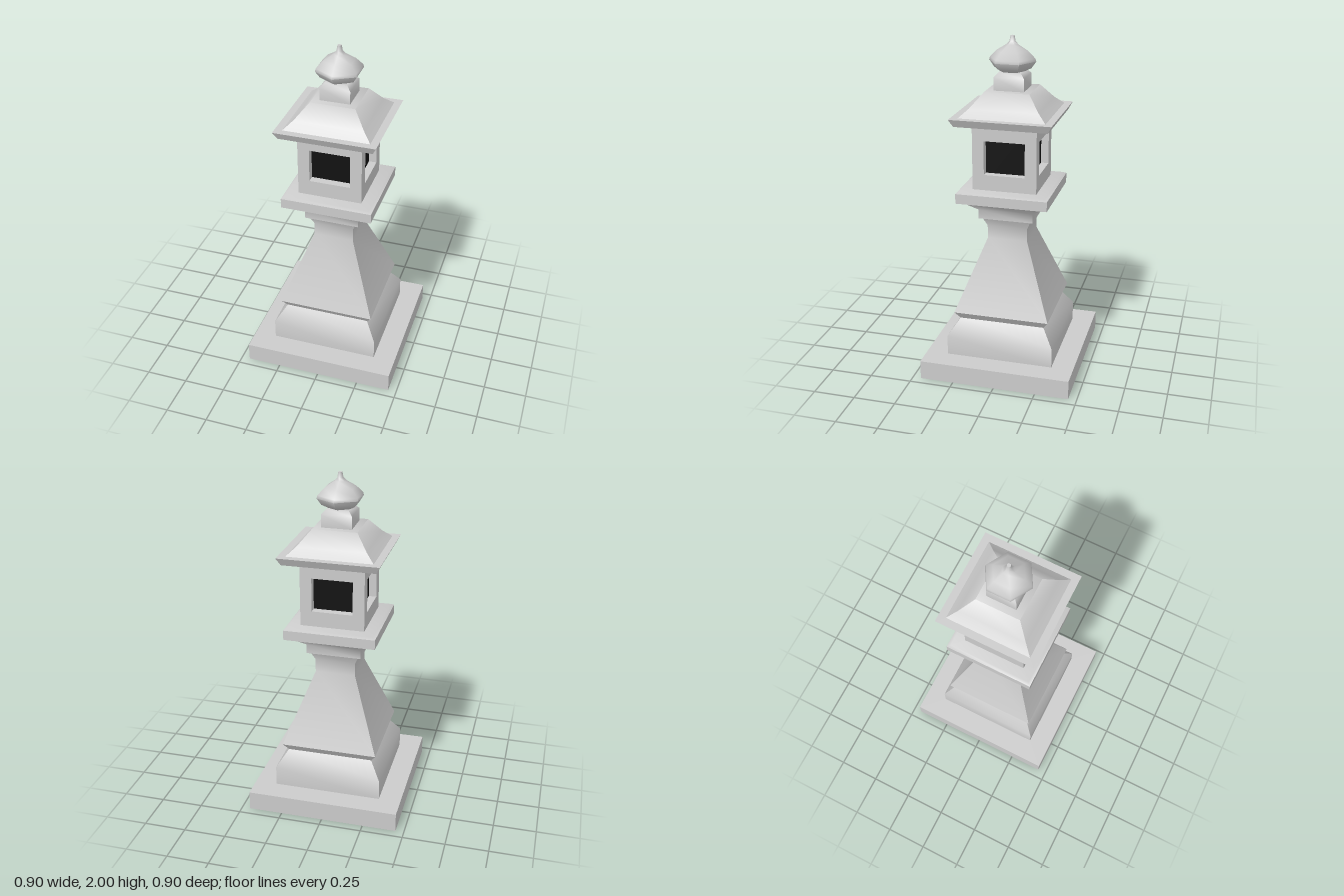
import * as THREE from 'three';
import { toCreasedNormals } from 'three/addons/utils/BufferGeometryUtils.js';

const stone = new THREE.MeshStandardMaterial({ color: 0xcccccc, side: THREE.DoubleSide });
const dark = new THREE.MeshStandardMaterial({ color: 0x111111 });

function addMesh(parent, name, geometry, material = stone) {
  const mesh = new THREE.Mesh(geometry, material);
  mesh.name = name;
  parent.add(mesh);
  return mesh;
}

// Square tier swept from [halfWidth, y] pairs, listed bottom to top
function squareTier(profile) {
  const pts = profile.map(([w, y]) => new THREE.Vector2(w * Math.SQRT2, y));
  return toCreasedNormals(new THREE.LatheGeometry(pts, 4, Math.PI / 4), 0.9);
}

// Flat wall panel with a rectangular window, front face at z = depth
function windowWall(halfWidth, y0, y1, depth) {
  const rect = (path, w, a, b) => {
    path.moveTo(-w, a);
    path.lineTo(w, a);
    path.lineTo(w, b);
    path.lineTo(-w, b);
    path.closePath();
    return path;
  };
  const shape = rect(new THREE.Shape(), halfWidth, y0, y1);
  shape.holes.push(rect(new THREE.Path(), 0.12, 1.23, 1.43));
  return new THREE.ExtrudeGeometry(shape, { depth, bevelEnabled: false });
}

export function createModel() {
  const model = new THREE.Group();
  model.name = 'stoneLantern';

  // Square tiers; the base and pedestal are hollow and open underneath
  const tiers = {
    baseSlab: [[0.45, 0], [0.45, 0.115], [0.32, 0.115]],
    pedestal: [[0.32, 0.115], [0.32, 0.235], [0.255, 0.335], [0.285, 0.38],
      [0.12, 0.815], [0.12, 0.895], [0.145, 0.95]],
    collar: [[0, 0.95], [0.162, 0.95], [0.162, 1.005], [0.24, 1.07]],
    gallery: [[0.24, 1.07], [0.268, 1.07], [0.268, 1.128], [0.25, 1.138], [0, 1.138]],
    eave: [[0, 1.525], [0.27, 1.525], [0.293, 1.57], [0.25, 1.57]],
    roof: [[0.25, 1.57], [0.2, 1.615], [0.13, 1.7], [0, 1.7]],
    capBlock: [[0.088, 1.7], [0.088, 1.775], [0.065, 1.8], [0, 1.8]],
  };
  for (const [name, profile] of Object.entries(tiers)) addMesh(model, name, squareTier(profile));

  // Light chamber: four windowed walls around a dark core
  const chamber = new THREE.Group();
  chamber.name = 'lightChamber';
  model.add(chamber);
  const half = 0.188, depth = 0.045;
  ['front', 'left', 'back', 'right'].forEach((side, i) => {
    const wall = new THREE.Group();
    wall.name = side + 'Wall';
    wall.rotation.y = i * Math.PI / 2;
    const width = i % 2 ? half - depth : half;
    addMesh(wall, side + 'WindowFrame', windowWall(width, 1.138, 1.525, depth)).position.z = half - depth;
    chamber.add(wall);
  });
  const coreWidth = 2 * (half - depth) - 0.002;
  addMesh(chamber, 'darkInterior', new THREE.BoxGeometry(coreWidth, 0.38, coreWidth), dark).position.y = 1.331;

  // Six-sided onion finial
  const finial = [[0, 1.795], [0.07, 1.8], [0.11, 1.82], [0.137, 1.858], [0.132, 1.875],
    [0.092, 1.915], [0.035, 1.95], [0.018, 1.968], [0.012, 2], [0, 2]];
  addMesh(model, 'finial', toCreasedNormals(
    new THREE.LatheGeometry(finial.map(([r, y]) => new THREE.Vector2(r, y)), 6), 1.1));

  return model;
}
